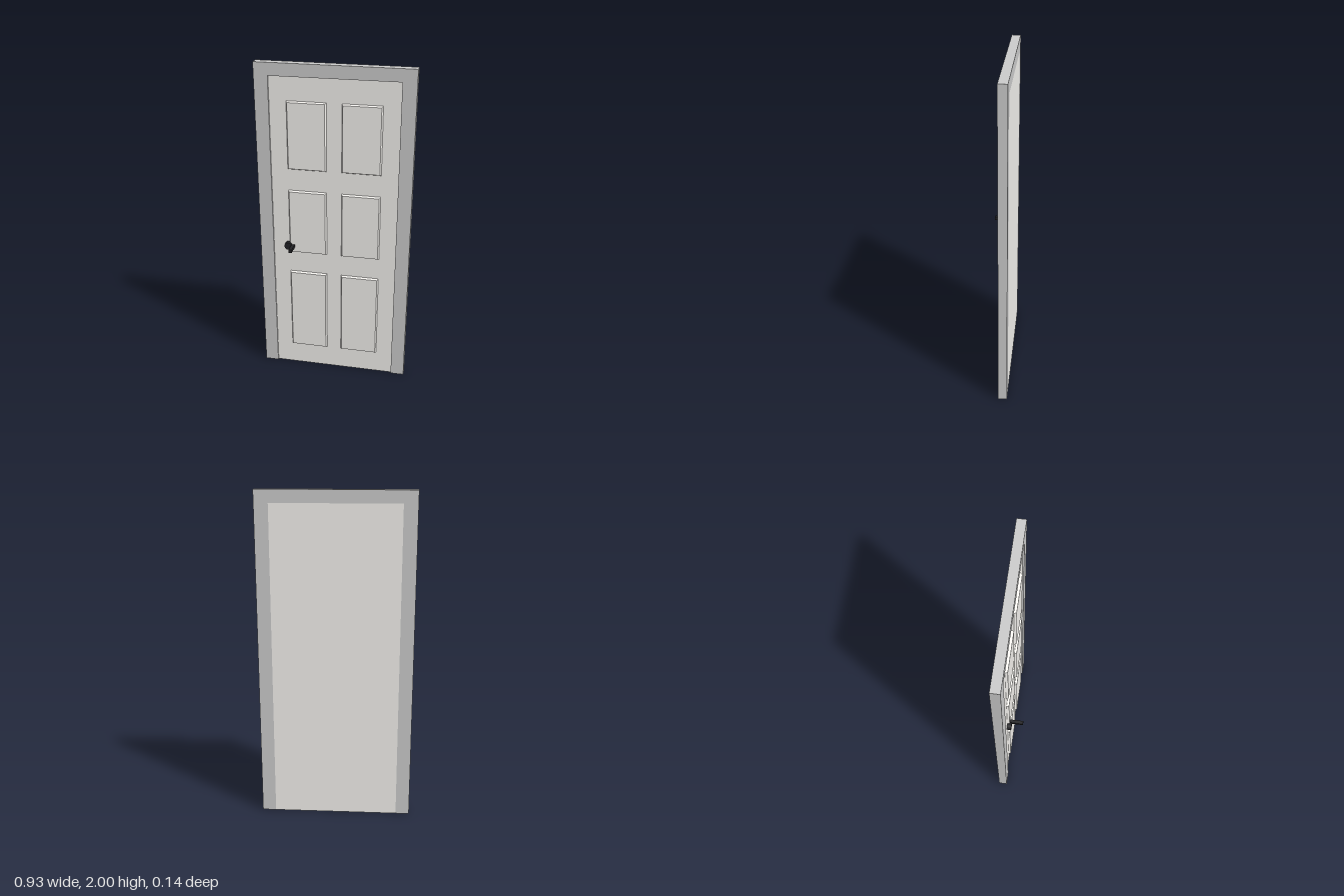
import * as THREE from 'three';

const BACK = -0.07, FRAME_FRONT = -0.017, DOOR_FRONT = -0.027, PANEL_FRONT = -0.013;

export function createModel() {
  const door = new THREE.Group();
  door.name = 'door';
  const frameMat = new THREE.MeshStandardMaterial({ color: 0xcccccc });
  const leafMat = new THREE.MeshStandardMaterial({ color: 0xf4f2ee });
  const handleMat = new THREE.MeshStandardMaterial({ color: 0x222225 });

  function add(name, geometry, material, x = 0, y = 0, z = 0) {
    const mesh = new THREE.Mesh(geometry, material);
    mesh.name = name;
    mesh.position.set(x, y, z);
    door.add(mesh);
    return mesh;
  }

  // Frame: two jambs and a head in one outline, open at the floor
  const W = 0.463, w = 0.38, top = 1.925;
  const outline = new THREE.Shape([
    [-W, 0], [-w, 0], [-w, top], [w, top], [w, 0], [W, 0], [W, 2], [-W, 2],
  ].map(([x, y]) => new THREE.Vector2(x, y)));
  add('frame', new THREE.ExtrudeGeometry(outline, { depth: FRAME_FRONT - BACK, bevelEnabled: false }),
    frameMat, 0, 0, BACK);

  // Door leaf, flush at the back and slightly recessed at the front
  add('doorLeaf', new THREE.BoxGeometry(2 * w, top, DOOR_FRONT - BACK), leafMat,
    0, top / 2, (DOOR_FRONT + BACK) / 2);

  // Raised panels with sloping edges
  function panelGeometry(width, height) {
    const depth = PANEL_FRONT - DOOR_FRONT, slope = 0.007;
    const geometry = new THREE.BoxGeometry(width, height, depth);
    const p = geometry.attributes.position;
    for (let i = 0; i < p.count; i++) {
      if (p.getZ(i) > 0) {
        p.setX(i, p.getX(i) - Math.sign(p.getX(i)) * slope);
        p.setY(i, p.getY(i) - Math.sign(p.getY(i)) * slope);
      }
    }
    geometry.computeVertexNormals();
    return geometry;
  }
  const rows = [[0.143, 0.69], [0.825, 1.238], [1.372, 1.785]];
  for (const [y0, y1] of rows) {
    for (const side of [-1, 1]) {
      add(side < 0 ? 'rightPanel' : 'leftPanel', panelGeometry(0.234, y1 - y0), leafMat,
        side * 0.162, (y0 + y1) / 2, (PANEL_FRONT + DOOR_FRONT) / 2);
    }
  }

  // Handle: round rose and a square bar pointing forward
  const rose = add('handleRose', new THREE.CylinderGeometry(0.024, 0.024, 0.027, 24), handleMat,
    -0.284, 0.872, -0.0135);
  rose.rotation.x = Math.PI / 2;
  add('handleBar', new THREE.BoxGeometry(0.02, 0.02, 0.08), handleMat, -0.255, 0.872, 0.027);

  return door;
}
